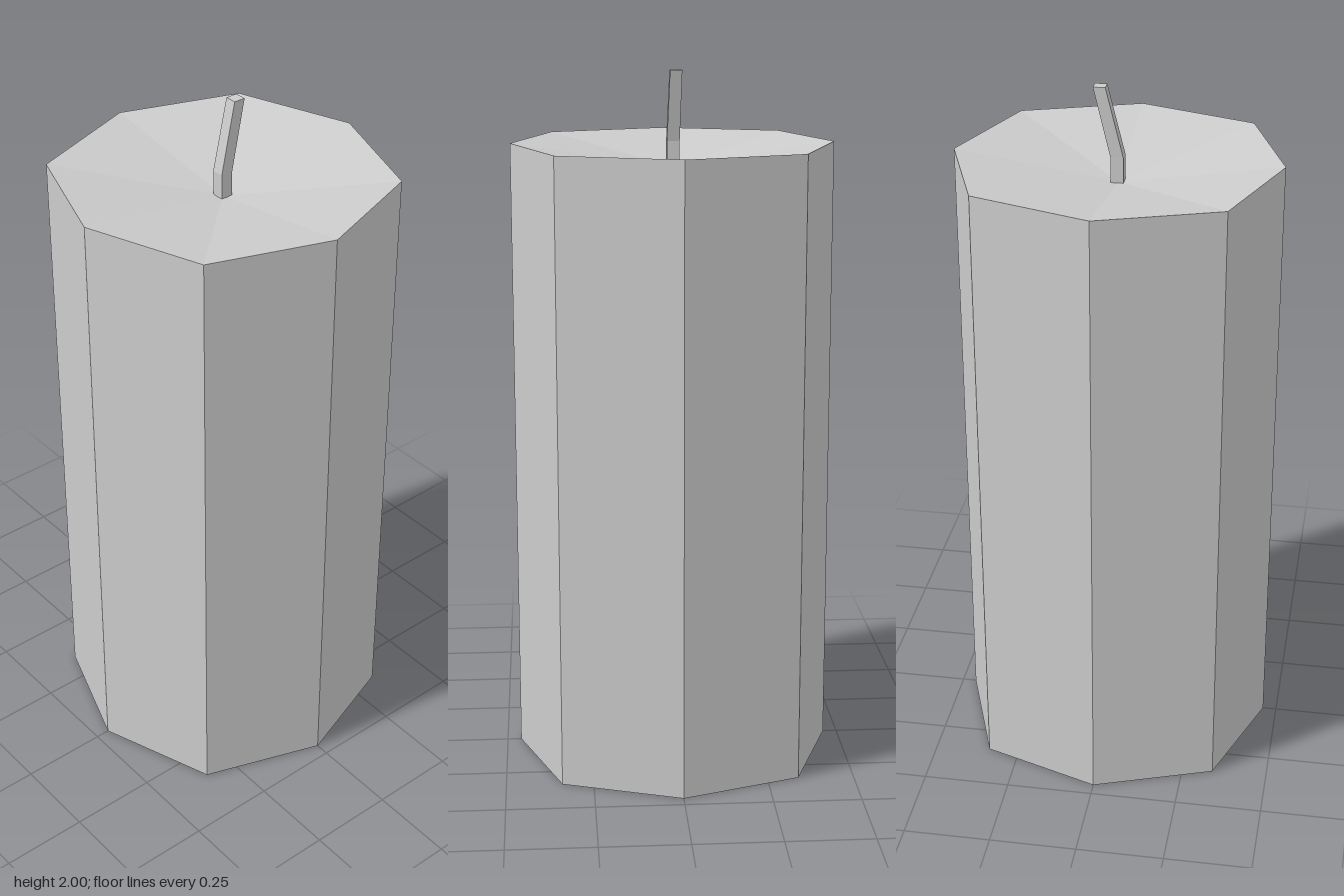
import * as THREE from 'three';

// Gives every face its own normal for the low-poly look
function faceted(geometry) {
  const g = geometry.toNonIndexed();
  g.computeVertexNormals();
  return g;
}

// Moves every vertex of a geometry by a rule
function reshape(geometry, rule) {
  const p = geometry.attributes.position;
  const v = new THREE.Vector3();
  for (let i = 0; i < p.count; i++) {
    rule(v.fromBufferAttribute(p, i));
    p.setXYZ(i, v.x, v.y, v.z);
  }
  return geometry;
}

export function createModel() {
  const wax = new THREE.MeshStandardMaterial({ color: 0xcccccc });
  wax.name = 'pale grey';

  const group = new THREE.Group();
  group.name = 'candle';

  // Eight-sided body with a shallow hollow in the top
  const profile = [[0, 0], [0.46, 0], [0.46, 1.795], [0, 1.725]]
    .map(([r, y]) => new THREE.Vector2(r, y));
  const bodyGeometry = reshape(new THREE.LatheGeometry(profile, 8), (v) => {
    // Diagonal corners stand slightly further out
    if (Math.abs(v.x * v.z) > 0.01) {
      v.x = Math.sign(v.x) * 0.34;
      v.z = Math.sign(v.z) * 0.34;
    }
  });
  const body = new THREE.Mesh(faceted(bodyGeometry), wax);
  body.name = 'body';
  group.add(body);

  // Square wick, upright at the base and bent towards the back
  const rings = [
    { x: 0, y: 1.715, z: 0, half: 0.018 },
    { x: 0, y: 1.8, z: 0, half: 0.018 },
    { x: -0.005, y: 2, z: -0.048, half: 0.017 },
  ];
  const wickGeometry = reshape(new THREE.BoxGeometry(2, 2, 2, 1, 2, 1), (v) => {
    const ring = rings[Math.round(v.y) + 1];
    v.set(ring.x + v.x * ring.half, ring.y, ring.z + v.z * ring.half);
  });
  const wick = new THREE.Mesh(faceted(wickGeometry), wax);
  wick.name = 'wick';
  group.add(wick);

  return group;
}
